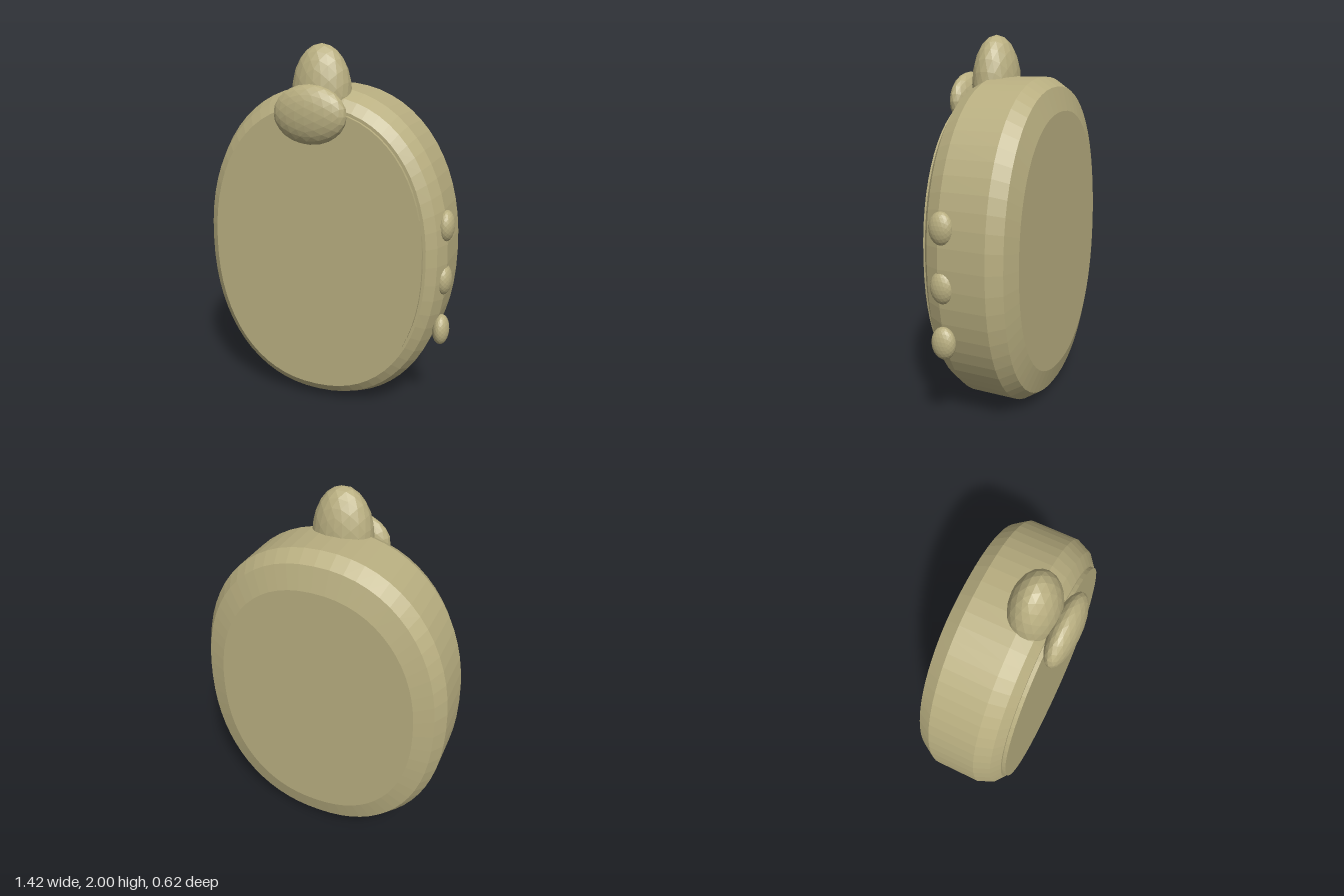
import * as THREE from 'three';

const CX = -0.015, CY = 0.895, SEGMENTS = 64, POWER = 2 / 2.2;

// Stack of superellipse rings [z, halfWidth, halfHeight], back to front, capped at both ends
function ringStack(rings) {
  const pos = [], index = [];
  for (const [z, w, h] of rings) {
    for (let i = 0; i < SEGMENTS; i++) {
      const a = (i / SEGMENTS) * Math.PI * 2, c = Math.cos(a), s = Math.sin(a);
      pos.push(
        CX + w * Math.sign(c) * Math.abs(c) ** POWER,
        CY + h * Math.sign(s) * Math.abs(s) ** POWER, z);
    }
  }
  for (let r = 0; r < rings.length - 1; r++) {
    for (let i = 0; i < SEGMENTS; i++) {
      const j = (i + 1) % SEGMENTS;
      const a = r * SEGMENTS + i, b = r * SEGMENTS + j;
      index.push(a, b, b + SEGMENTS, a, b + SEGMENTS, a + SEGMENTS);
    }
  }
  const last = (rings.length - 1) * SEGMENTS;
  const back = pos.length / 3, front = back + 1;
  pos.push(CX, CY, rings[0][0], CX, CY, rings[rings.length - 1][0]);
  for (let i = 0; i < SEGMENTS; i++) {
    const j = (i + 1) % SEGMENTS;
    index.push(back, j, i, front, last + i, last + j);
  }
  const g = new THREE.BufferGeometry();
  g.setAttribute('position', new THREE.Float32BufferAttribute(pos, 3));
  g.setIndex(index);
  const flat = g.toNonIndexed();
  flat.computeVertexNormals();
  return flat;
}

export function createModel() {
  const group = new THREE.Group();
  const khaki = new THREE.MeshStandardMaterial({ color: 0xb8ae80, flatShading: true });
  khaki.name = 'khaki';

  const add = (name, geometry) => {
    const mesh = new THREE.Mesh(geometry, khaki);
    mesh.name = name;
    group.add(mesh);
    return mesh;
  };
  const ellipsoid = (name, center, radii) => {
    const g = new THREE.IcosahedronGeometry(1, 3);
    g.scale(...radii);
    g.computeVertexNormals();
    add(name, g).position.set(...center);
  };

  // Bevelled case
  add('body', ringStack([
    [-0.31, 0.555, 0.715],
    [-0.275, 0.655, 0.84],
    [-0.2, 0.7, 0.89],
    [0.055, 0.7, 0.89],
    [0.135, 0.665, 0.85],
    [0.175, 0.615, 0.797],
  ]));

  // Raised face plate
  add('frontPanel', ringStack([[0.15, 0.6, 0.782], [0.195, 0.6, 0.782]]));

  // Crown on top and the oval knob in front of it
  ellipsoid('topKnob', [CX, 1.74, 0.075], [0.163, 0.26, 0.125]);
  ellipsoid('frontKnob', [CX, 1.655, 0.235], [0.2, 0.152, 0.073]);

  // Side buttons
  [0.51, 0.8, 1.095].forEach((y, i) =>
    ellipsoid(`sideButton${i + 1}`, [0.665, y, 0.04], [0.045, 0.085, 0.066]));

  return group;
}
